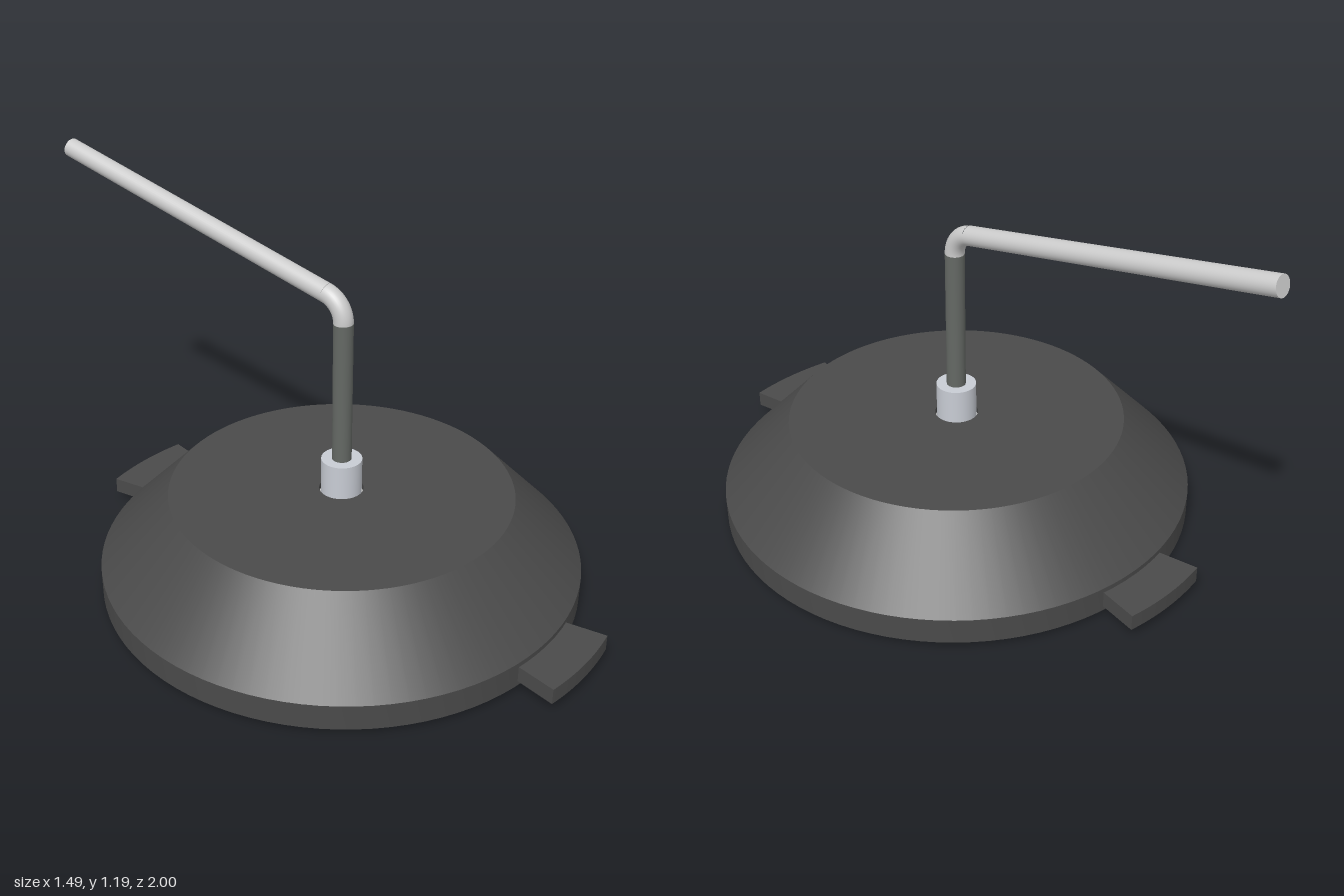
import * as THREE from 'three';
import { toCreasedNormals } from 'three/addons/utils/BufferGeometryUtils.js';

const mat = (color) => new THREE.MeshStandardMaterial({ color });
const dark = mat(0x4a4a4a);
const sleeveGrey = mat(0x646864);
const grey = mat(0xcccccc);
const bluish = mat(0xc4c8e0);

export function createModel() {
  const model = new THREE.Group();
  const base = new THREE.Group();
  base.name = 'base';
  base.position.z = 0.13;
  model.add(base);

  const add = (parent, name, geometry, material, x = 0, y = 0, z = 0) => {
    const mesh = new THREE.Mesh(geometry, material);
    mesh.name = name;
    mesh.position.set(x, y, z);
    parent.add(mesh);
    return mesh;
  };

  // Hollow conical cover with a hole for the pole collar
  const profile = [
    [0.725, 0.015], [0.745, 0.015], [0.745, 0.095], [0.53, 0.315], [0.068, 0.315],
    [0.068, 0.295], [0.52, 0.295], [0.725, 0.09], [0.725, 0.015],
  ].map(([r, y]) => new THREE.Vector2(r, y));
  add(base, 'cover', toCreasedNormals(new THREE.LatheGeometry(profile, 96), 0.5), dark);

  // Bumper tabs at front and back: ring sectors with radial sides
  const tabShape = new THREE.Shape();
  const half = 0.175;
  tabShape.absarc(0, 0, 0.87, -Math.PI / 2 - half, -Math.PI / 2 + half, false);
  tabShape.absarc(0, 0, 0.73, -Math.PI / 2 + half, -Math.PI / 2 - half, true);
  const tabGeometry = new THREE.ExtrudeGeometry(tabShape, { depth: 0.05, bevelEnabled: false, curveSegments: 16 });
  tabGeometry.rotateX(-Math.PI / 2);
  add(base, 'frontTab', tabGeometry, dark, 0, 0.03);
  add(base, 'backTab', tabGeometry, dark, 0, 0.03).rotation.y = Math.PI;

  // Cross-shaped chassis with a notch at each corner for a wheel
  const [nx, nz, ex, ez] = [0.25, 0.32, 0.57, 0.61];
  const cross = new THREE.Shape([
    [ex, -nz], [ex, nz], [nx, nz], [nx, ez], [-nx, ez], [-nx, nz],
    [-ex, nz], [-ex, -nz], [-nx, -nz], [-nx, -ez], [nx, -ez], [nx, -nz],
  ].map(([x, y]) => new THREE.Vector2(x, y)));
  const chassis = new THREE.ExtrudeGeometry(cross, { depth: 0.11, bevelEnabled: false });
  chassis.rotateX(-Math.PI / 2);
  add(base, 'chassis', chassis, grey, 0, 0.04);

  // Four wheels
  const wheel = new THREE.CylinderGeometry(0.09, 0.09, 0.08, 40);
  wheel.rotateZ(Math.PI / 2);
  for (const x of [-0.4, 0.4]) {
    for (const z of [-0.4, 0.4]) add(base, 'wheel', wheel, bluish, x, 0.09, z);
  }

  // Collar and dark sleeve of the pole
  add(base, 'collar', new THREE.CylinderGeometry(0.0625, 0.0625, 0.27, 48), mat(0xc8ccd4), 0, 0.285);
  add(base, 'poleSleeve', new THREE.CylinderGeometry(0.03, 0.03, 0.46, 32), sleeveGrey, 0, 0.64);

  // Bent rod rising towards the back
  const tilt = 0.2;
  const bendRadius = 0.08;
  const turn = Math.PI / 2 - tilt;
  const arc = [];
  for (let i = 0; i <= 16; i++) {
    const a = (turn * i) / 16;
    arc.push(new THREE.Vector3(0, 0.87 + bendRadius * Math.sin(a), -bendRadius * (1 - Math.cos(a))));
  }
  const bendEnd = arc[arc.length - 1];
  const direction = new THREE.Vector3(0, Math.sin(tilt), -Math.cos(tilt));
  const rodLength = 1.077;
  const bend = new THREE.CatmullRomCurve3(arc);
  add(base, 'rodBend', new THREE.TubeGeometry(bend, 24, 0.03, 32), grey);
  const rod = add(base, 'handleRod', new THREE.CylinderGeometry(0.03, 0.03, rodLength, 32), grey);
  rod.position.copy(bendEnd).addScaledVector(direction, rodLength / 2);
  rod.quaternion.setFromUnitVectors(new THREE.Vector3(0, 1, 0), direction);

  return model;
}
